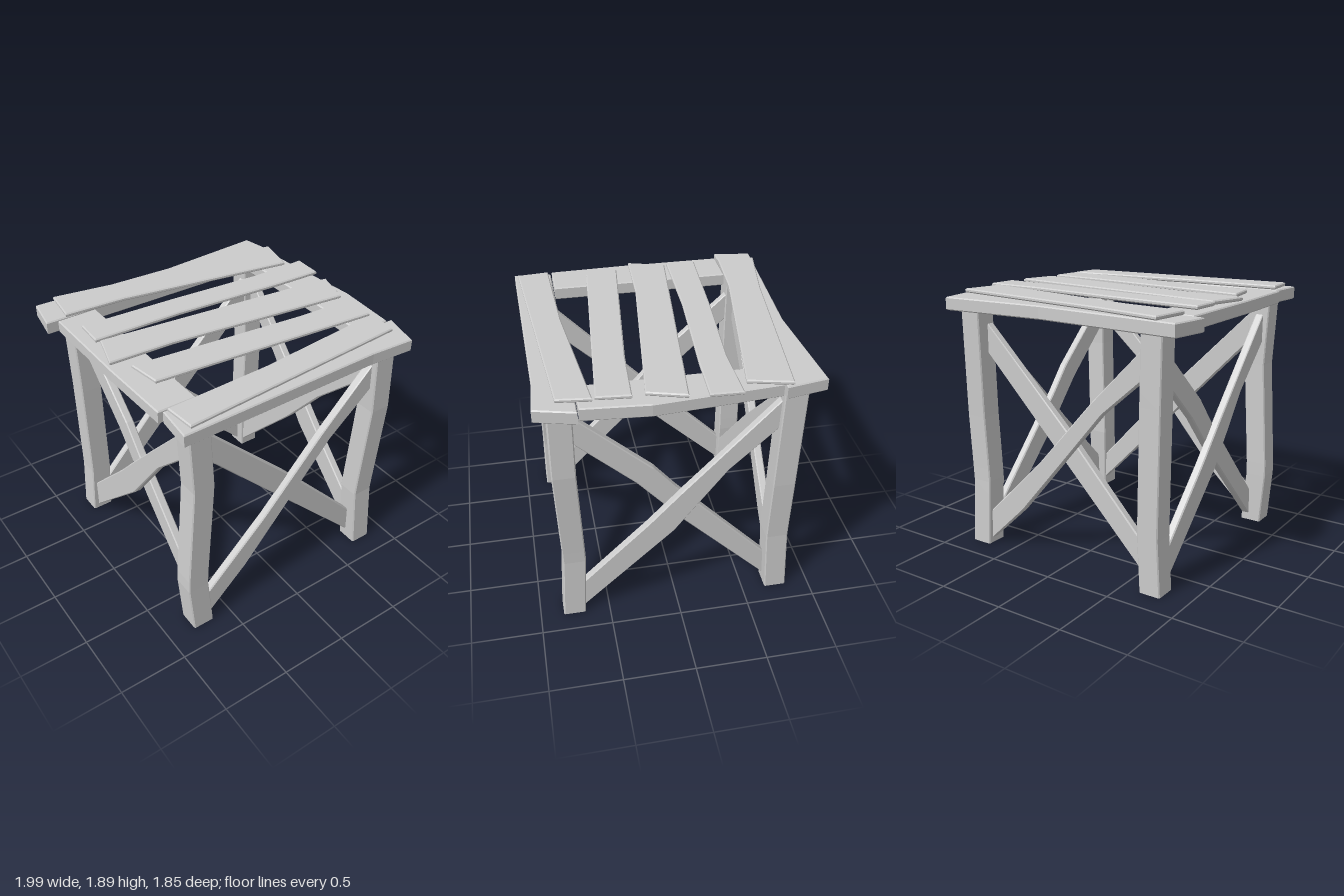
import * as THREE from 'three';

const material = new THREE.MeshStandardMaterial({ color: 0xcccccc, flatShading: true });
const BEVEL = 0.008;

// Bevelled slab: an outline in the XY plane, filling z0..z1
function slab(points, z0, z1) {
  const b = BEVEL;
  const shape = new THREE.Shape(points.map(([x, y]) => new THREE.Vector2(x, y)));
  const geometry = new THREE.ExtrudeGeometry(shape, {
    depth: z1 - z0 - 2 * b, bevelThickness: b, bevelSize: b, bevelOffset: -b, bevelSegments: 1,
  });
  return geometry.translate(0, 0, z0 + b);
}

// Horizontal board from a plan outline [x, z], lying between y0 and y1
function board(name, plan, y0, y1) {
  const geometry = slab(plan.map(([x, z]) => [x, -z]), y0, y1).rotateX(-Math.PI / 2);
  const mesh = new THREE.Mesh(geometry, material);
  mesh.name = name;
  return mesh;
}

// Crooked square post whose centre follows [y, x, z] stations
function leg(name, stations) {
  const height = 1.77, h = 0.08, c = 0.072;
  const outline = [[-c, -h], [c, -h], [h, -c], [h, c], [c, h], [-c, h], [-h, c], [-h, -c]];
  const shape = new THREE.Shape(outline.map(([x, y]) => new THREE.Vector2(x, y)));
  const geometry = new THREE.ExtrudeGeometry(shape, { depth: height, steps: 18, bevelEnabled: false });
  geometry.rotateX(-Math.PI / 2);
  const pos = geometry.attributes.position;
  for (let i = 0; i < pos.count; i++) {
    const y = pos.getY(i);
    let k = 1;
    while (k < stations.length - 1 && y > stations[k][0]) k++;
    const [a, b] = [stations[k - 1], stations[k]];
    const t = (y - a[0]) / (b[0] - a[0]);
    pos.setX(i, pos.getX(i) + THREE.MathUtils.lerp(a[1], b[1], t));
    pos.setZ(i, pos.getZ(i) + THREE.MathUtils.lerp(a[2], b[2], t));
  }
  geometry.computeVertexNormals();
  const mesh = new THREE.Mesh(geometry, material);
  mesh.name = name;
  return mesh;
}

// Crossed pair of braces for one side, running between two legs
function crossBrace(name, rising, falling) {
  const group = new THREE.Group();
  group.name = name;
  const outer = new THREE.Mesh(slab(rising, 0.73, 0.79), material);
  outer.name = 'risingBrace';
  const inner = new THREE.Mesh(slab(falling, 0.68, 0.74), material);
  inner.name = 'fallingBrace';
  group.add(outer, inner);
  return group;
}

export function createModel() {
  const model = new THREE.Group();
  model.name = 'rusticStool';

  // Legs
  model.add(
    leg('frontRightLeg', [[0, -0.725, 0.755], [0.42, -0.76, 0.75], [1.27, -0.703, 0.755], [1.77, -0.73, 0.755]]),
    leg('frontLeftLeg', [[0, 0.78, 0.755], [0.5, 0.762, 0.728], [1.28, 0.797, 0.757], [1.77, 0.78, 0.755]]),
    leg('backLeftLeg', [[0, 0.78, -0.75], [0.5, 0.765, -0.73], [1.0, 0.785, -0.735], [1.77, 0.78, -0.755]]),
    leg('backRightLeg', [[0, -0.725, -0.755], [0.4, -0.703, -0.755], [1.2, -0.712, -0.75], [1.77, -0.725, -0.755]]),
  );

  // Crossed braces: one pattern for front and back, another for the two sides
  const frontRising = [[-0.7, 0.01], [-0.36, 0.33], [-0.01, 0.74], [0.35, 1.165], [0.7, 1.47],
    [0.7, 1.68], [0.27, 1.245], [-0.2, 0.72], [-0.7, 0.23]];
  const frontFalling = [[-0.7, 1.47], [0.7, 0.04], [0.7, 0.25], [0.02, 0.98], [-0.7, 1.69]];
  const sideRising = [[-0.7, 0.01], [-0.02, 0.65], [0.35, 1.14], [0.7, 1.47],
    [0.7, 1.69], [0.02, 0.98], [-0.2, 0.74], [-0.7, 0.24]];
  const sideFalling = [[-0.7, 1.48], [-0.27, 1.075], [0.07, 0.68], [0.7, 0.03],
    [0.7, 0.24], [0, 1.0], [-0.155, 1.19], [-0.7, 1.69]];
  ['frontBraces', 'leftBraces', 'backBraces', 'rightBraces'].forEach((name, i) => {
    const braces = i % 2 ? crossBrace(name, sideRising, sideFalling) : crossBrace(name, frontRising, frontFalling);
    braces.position.x = 0.03;
    braces.rotation.y = i * Math.PI / 2;
    model.add(braces);
  });

  // Frame boards resting on the legs
  const frame = {
    frontFrameBoard: [[-0.87, 0.65], [0.985, 0.65], [0.915, 0.92], [0.59, 0.9], [-0.895, 0.92]],
    backFrameBoard: [[-0.95, -0.93], [0.12, -0.875], [0.905, -0.93], [0.955, -0.65], [-0.995, -0.66]],
    rightFrameBoard: [[-0.915, -0.645], [-0.625, -0.645], [-0.625, 0.64], [-0.9, 0.64], [-0.915, 0.1]],
    leftFrameBoard: [[0.695, -0.64], [0.92, -0.64], [0.985, 0.2], [0.95, 0.64], [0.695, 0.64]],
  };
  for (const [name, plan] of Object.entries(frame)) model.add(board(name, plan, 1.765, 1.858));

  // Uneven seat slats, back to front
  const slats = [
    [[-0.815, -0.925], [-0.32, -0.84], [0.945, -0.695], [0.875, -0.405], [-0.39, -0.62], [-0.85, -0.65]],
    [[-0.83, -0.455], [-0.12, -0.415], [0.565, -0.36], [0.99, -0.365], [0.98, -0.15], [0.62, -0.165],
      [-0.185, -0.225], [-0.84, -0.24]],
    [[-0.815, -0.22], [0.965, -0.027], [0.89, 0.23], [-0.425, 0.07], [-0.895, 0.05]],
    [[-0.795, 0.155], [0.455, 0.285], [0.905, 0.31], [0.885, 0.535], [-0.76, 0.39]],
    [[-0.85, 0.67], [-0.105, 0.645], [0.895, 0.55], [0.87, 0.775], [-0.83, 0.895]],
  ];
  slats.forEach((plan, i) => model.add(board(`seatSlat${i + 1}`, plan, 1.858, 1.887)));

  return model;
}
